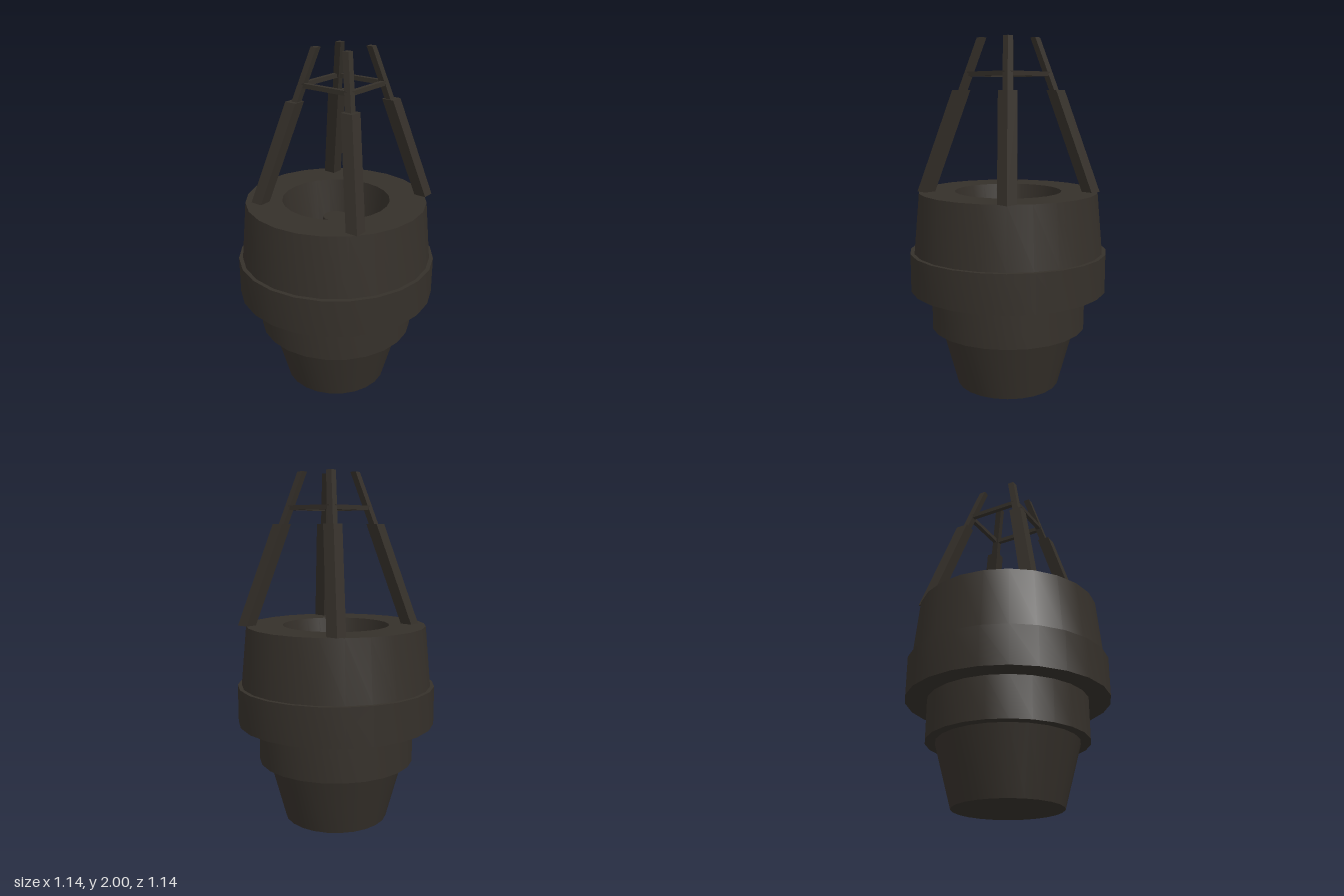
import * as THREE from 'three';
import { toCreasedNormals } from 'three/addons/utils/BufferGeometryUtils.js';

const material = new THREE.MeshStandardMaterial({ color: 0x35302a });

function addMesh(parent, geometry, name) {
  const mesh = new THREE.Mesh(geometry, material);
  mesh.name = name;
  parent.add(mesh);
  return mesh;
}

function lathe(profile) {
  const points = profile.map(([r, y]) => new THREE.Vector2(r, y));
  return toCreasedNormals(new THREE.LatheGeometry(points, 24), 0.5);
}

// Square bar with level ends, leaning towards the middle along the diagonal
function leaningBar(sx, sz, bottom, top, y0, y1, width) {
  const geo = new THREE.BoxGeometry(width, y1 - y0, width);
  const p = geo.attributes.position;
  for (let i = 0; i < p.count; i++) {
    const upper = p.getY(i) > 0;
    const offset = upper ? top : bottom;
    p.setXYZ(i, p.getX(i) + sx * offset, upper ? y1 : y0, p.getZ(i) + sz * offset);
  }
  const flat = geo.toNonIndexed();
  flat.computeVertexNormals();
  return flat;
}

export function createModel() {
  const model = new THREE.Group();
  model.name = 'steppedVessel';

  // Stepped body, hollow from the top
  addMesh(model, lathe([
    [0, 0], [0.3, 0], [0.395, 0.35], [0.45, 0.35], [0.45, 0.58],
    [0.57, 0.58], [0.57, 0.8], [0.547, 0.8], [0.515, 1.145],
    [0.307, 1.145], [0.245, 0.68], [0, 0.68],
  ]), 'body');

  // Tapered core inside the hollow
  addMesh(model, lathe([[0.145, 0.68], [0.072, 1.035], [0, 1.035]]), 'innerCone');

  // Four-legged frame, set slightly off the body's axis
  const frame = new THREE.Group();
  frame.name = 'frame';
  frame.position.set(0.027, 0, -0.03);
  model.add(frame);

  for (const sx of [-1, 1]) {
    for (const sz of [-1, 1]) {
      addMesh(frame, leaningBar(sx, sz, 0.332, 0.186, 1.145, 1.715, 0.072), 'leg');
      addMesh(frame, leaningBar(sx, sz, 0.183, 0.104, 1.7, 2, 0.038), 'upperRod');
    }
  }

  // Square of cross bars joining the rods
  for (let i = 0; i < 4; i++) {
    const bar = addMesh(frame, new THREE.BoxGeometry(0.3, 0.025, 0.025), 'crossBar');
    const a = i * Math.PI / 2;
    bar.position.set(Math.sin(a) * 0.161, 1.803, Math.cos(a) * 0.161);
    bar.rotation.y = a;
  }

  return model;
}
